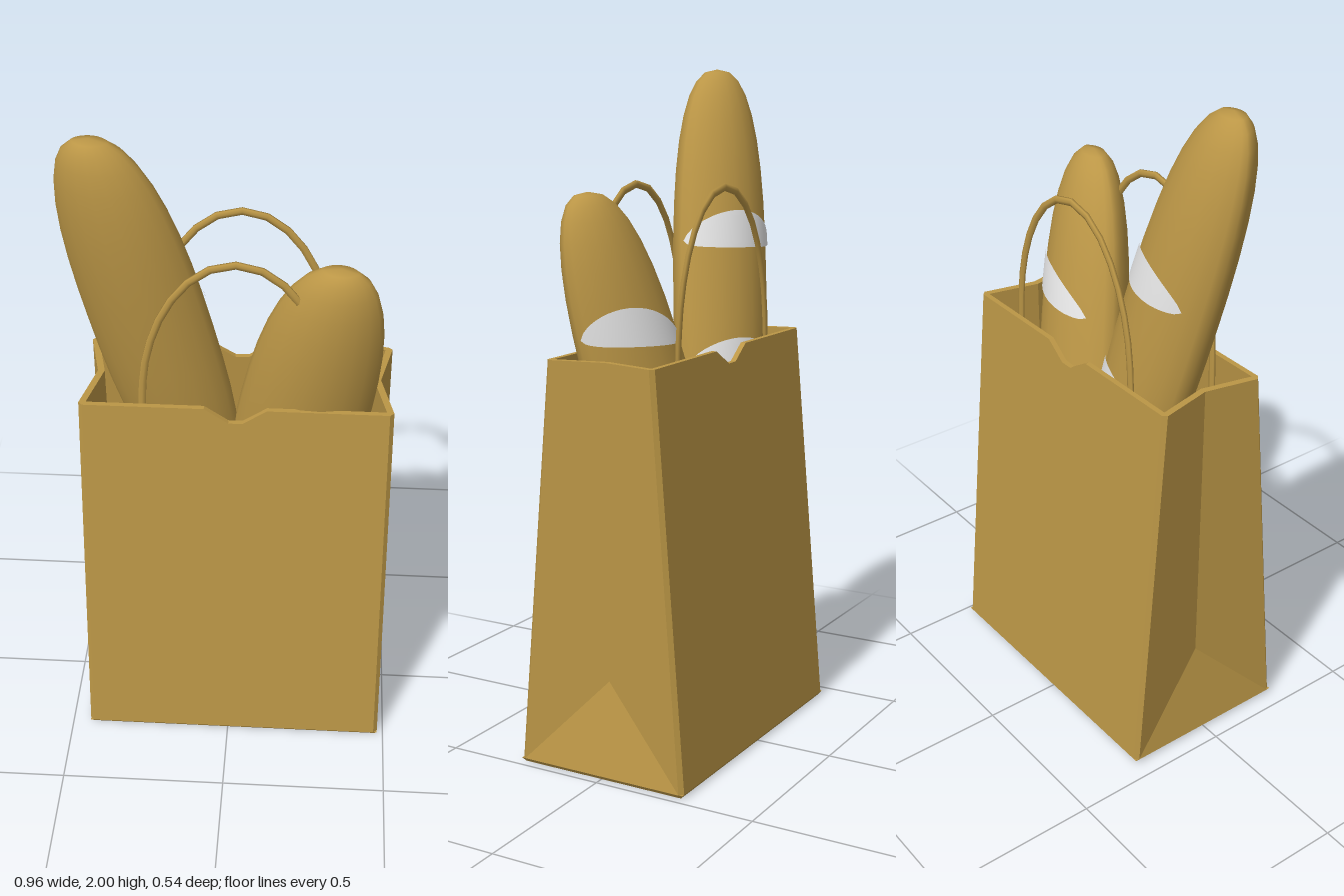
import * as THREE from 'three';
import { mergeVertices } from 'three/addons/utils/BufferGeometryUtils.js';

const kraft = new THREE.MeshStandardMaterial({ color: 0xbb9646 });
kraft.name = 'golden brown';
const flour = new THREE.MeshStandardMaterial({ color: 0xf4f4f4 });
flour.name = 'flour white';

const CX = 0.0185, TOP = 1.205, BASE = 0.012, WALL = 0.016, CHAMFER = 0.012;
const lerp = THREE.MathUtils.lerp;
const halfW = (y) => lerp(0.463, 0.45, y / TOP);
const halfD = (y) => lerp(0.272, 0.173, y / TOP);

function add(group, name, geometry, material = kraft) {
  const mesh = new THREE.Mesh(geometry, material);
  mesh.name = name;
  group.add(mesh);
  return mesh;
}

// Smooth surface from a rule (u, v in 0..1)
function surface(rule, nu, nv) {
  const g = new THREE.PlaneGeometry(1, 1, nu, nv);
  const p = g.attributes.position;
  for (let i = 0; i < p.count; i++) {
    p.setXYZ(i, ...rule(p.getX(i) + 0.5, p.getY(i) + 0.5));
  }
  g.deleteAttribute('uv');
  g.deleteAttribute('normal');
  const merged = mergeVertices(g, 1e-5);
  merged.computeVertexNormals();
  return merged;
}

// Broad bag panel with a thumb notch, leaning inwards
function broadPanel() {
  const b = halfW(BASE) - CHAMFER, t = halfW(TOP) - CHAMFER;
  const shape = new THREE.Shape([
    [-b, BASE], [b, BASE], [t, TOP], [0.09, TOP], [0.02, 1.16],
    [-0.02, 1.16], [-0.09, TOP], [-t, TOP],
  ].map(([x, y]) => new THREE.Vector2(x, y)));
  const g = new THREE.ExtrudeGeometry(shape, { depth: WALL, bevelEnabled: false });
  const p = g.attributes.position;
  for (let i = 0; i < p.count; i++) p.setZ(i, p.getZ(i) + halfD(p.getY(i)) - WALL);
  g.computeVertexNormals();
  return g;
}

// Narrow side with folded gusset: outer skin, inner skin and rim
function gusset(s) {
  const pos = [];
  const tri = (a, b, c) => pos.push(...a, ...(s > 0 ? [...b, ...c] : [...c, ...b]));
  const quad = (a, b, c, d) => { tri(a, b, c); tri(a, c, d); };
  const skin = (inset, flip) => {
    const pt = (y, z, dx = 0) => [s * (halfW(y) - inset - dx), y, z];
    const corner = (y, e) => pt(y, e * (halfD(y) - CHAMFER));
    const edge = (y, e) => pt(y, e * (halfD(y) - (flip ? WALL : 0)), CHAMFER);
    const apex = pt(0.28, 0, 0.053), mid = pt(TOP, 0, 0.036);
    const f = flip ? (a, b, c) => tri(a, c, b) : tri;
    f(corner(BASE, 1), corner(BASE, -1), apex);
    f(corner(BASE, 1), apex, corner(TOP, 1));
    f(corner(TOP, 1), apex, mid);
    f(corner(BASE, -1), corner(TOP, -1), apex);
    f(corner(TOP, -1), mid, apex);
    f(edge(BASE, 1), corner(BASE, 1), corner(TOP, 1));
    f(edge(BASE, 1), corner(TOP, 1), edge(TOP, 1));
    f(corner(BASE, -1), edge(BASE, -1), edge(TOP, -1));
    f(corner(BASE, -1), edge(TOP, -1), corner(TOP, -1));
    return [edge(TOP, 1), corner(TOP, 1), mid, corner(TOP, -1), edge(TOP, -1)];
  };
  const out = skin(0, false), inn = skin(0.02, true);
  for (let i = 0; i < 4; i++) quad(out[i], out[i + 1], inn[i + 1], inn[i]);
  const g = new THREE.BufferGeometry();
  g.setAttribute('position', new THREE.Float32BufferAttribute(pos, 3));
  g.computeVertexNormals();
  return g;
}

// Floor slab, bevelled towards the ground
function floorSlab() {
  const g = new THREE.BoxGeometry(2, BASE, 2).toNonIndexed();
  const p = g.attributes.position;
  for (let i = 0; i < p.count; i++) {
    const inset = p.getY(i) < 0 ? 0.01 : 0.001;
    p.setXYZ(i, p.getX(i) * (halfW(0) - inset), p.getY(i) + BASE / 2, p.getZ(i) * (halfD(0) - inset));
  }
  g.computeVertexNormals();
  return g;
}

// Looped cord handle
function handle() {
  const pts = [new THREE.Vector3(-0.272, 1.05, 0)];
  for (let i = 0; i <= 12; i++) {
    const a = Math.PI * (1 - i / 12);
    pts.push(new THREE.Vector3(0.268 * Math.cos(a), 1.2 + 0.467 * Math.sin(a), 0));
  }
  pts.push(new THREE.Vector3(0.272, 1.05, 0));
  const g = new THREE.TubeGeometry(new THREE.CatmullRomCurve3(pts), 20, 0.012, 6);
  return g.scale(1, 1, 0.6);
}

// Leaning loaf with a lens-like section and floury slashes on its back
function loaf({ center, lean, yaw, width, depth, slashes }) {
  const group = new THREE.Group();
  const L = 0.73;
  const point = (k, t, swell = 0) => {
    const a = Math.abs(k);
    const w = width * (k > 0 ? Math.max(0, 1 - a ** 3) ** 0.4 : Math.max(0, 1 - a * a) ** 0.6);
    const sn = Math.sin(t);
    const x = (w + swell) * Math.cos(t);
    const z = (w * depth + swell) * Math.sign(sn) * Math.abs(sn) ** 1.3;
    return [
      center[0] + lean[0] * k * L + x * Math.cos(yaw) - z * Math.sin(yaw),
      center[1] + k * L,
      center[2] + lean[1] * k * L + x * Math.sin(yaw) + z * Math.cos(yaw),
    ];
  };
  add(group, 'crust', surface((u, v) =>
    point(Math.sin((v - 0.5) * Math.PI), u === 1 ? 0 : -u * 2 * Math.PI), 20, 20));
  slashes.forEach((k0) => add(group, 'slash', surface((u, v) => {
    const t = lerp(2 * Math.PI - 0.15, Math.PI + 0.7, u);
    const bow = Math.sin(Math.PI * u);
    return point(k0 - 0.03 * u + 0.06 * bow + (v - 0.5) * 0.15 * bow ** 0.7, t, 0.005);
  }, 20, 6), flour));
  return group;
}

export function createModel() {
  const model = new THREE.Group();
  model.name = 'breadBag';

  const bag = new THREE.Group();
  bag.name = 'paperBag';
  bag.position.x = CX;
  add(bag, 'frontPanel', broadPanel());
  add(bag, 'backPanel', broadPanel()).rotation.y = Math.PI;
  add(bag, 'leftGusset', gusset(1));
  add(bag, 'rightGusset', gusset(-1));
  add(bag, 'floor', floorSlab());
  add(bag, 'frontHandle', handle()).position.z = 0.148;
  add(bag, 'backHandle', handle()).position.z = -0.148;

  const tall = loaf({
    center: [-0.21, 1.27, -0.015], lean: [-0.22, 0.14], yaw: 0.18, width: 0.187, depth: 0.66,
    slashes: [0.31, -0.2],
  });
  tall.name = 'tallLoaf';
  const short = loaf({
    center: [0.18, 0.93, -0.01], lean: [0.165, 0.2], yaw: 0.2, width: 0.197, depth: 0.62,
    slashes: [0.45, 0],
  });
  short.name = 'shortLoaf';

  model.add(bag, tall, short);
  return model;
}
